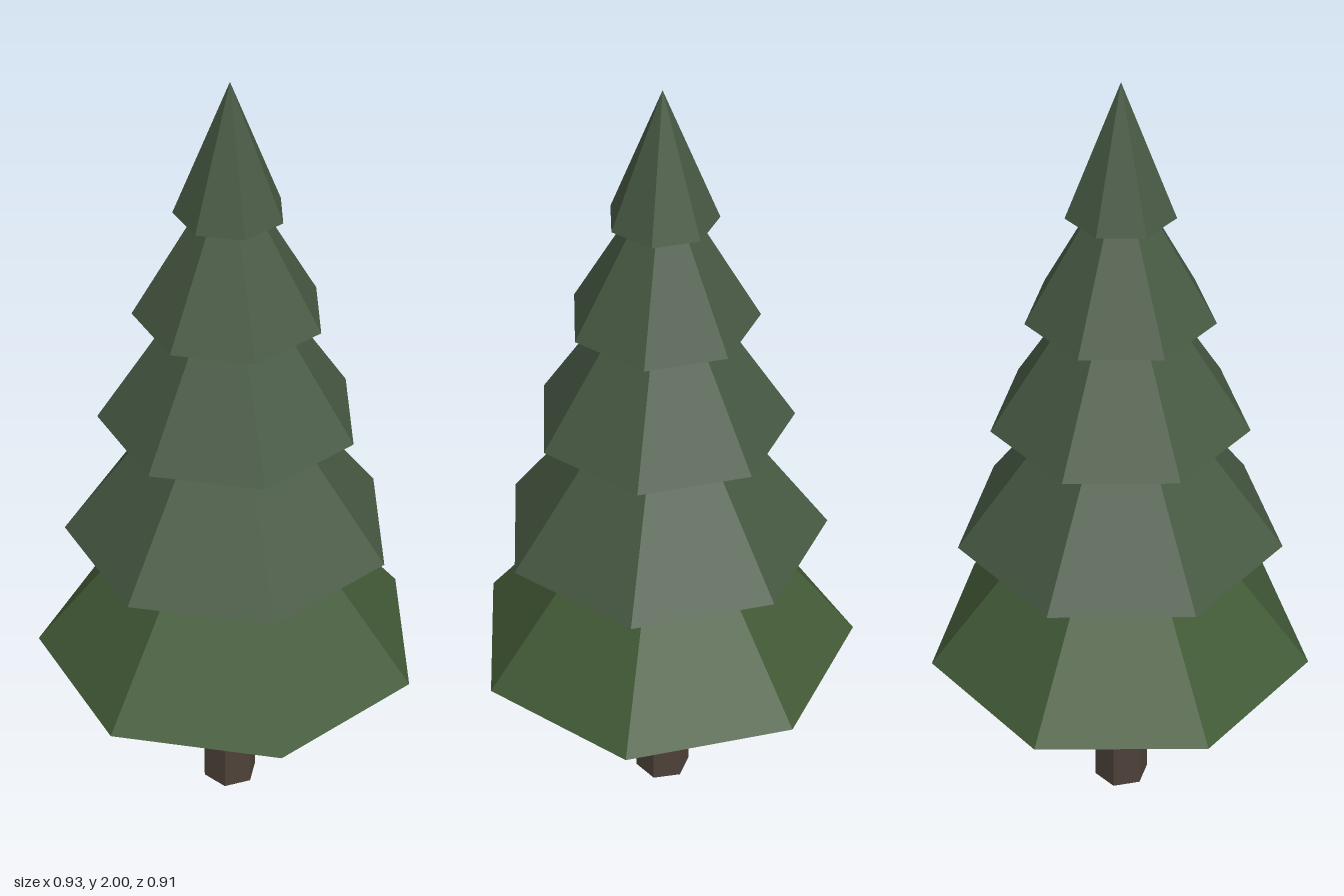
import * as THREE from 'three';

const AXIS_Z = 0.022; // the odd-sided tiers sit slightly off centre

function addPart(group, name, geometry, color, y, z, turn = 0) {
  const material = new THREE.MeshStandardMaterial({ color, flatShading: true });
  const mesh = new THREE.Mesh(geometry, material);
  mesh.name = name;
  mesh.position.set(0, y, z);
  mesh.rotation.y = turn;
  group.add(mesh);
}

export function createModel() {
  const tree = new THREE.Group();
  tree.name = 'pineTree';

  // Six-sided trunk, its top tucked into the lowest tier
  addPart(tree, 'trunk', new THREE.CylinderGeometry(0.069, 0.069, 0.5, 6), 0x4e4239, 0.25, 0.027);

  // Overlapping seven-sided cones: base height, radius, cone height
  const tiers = [
    [0.447, 0.479, 0.62],
    [0.793, 0.402, 0.55],
    [1.12, 0.314, 0.49],
    [1.406, 0.227, 0.402],
    [1.673, 0.13, 0.327],
  ];
  tiers.forEach(([base, radius, height], i) => {
    const color = i === 0 ? 0x425a37 : 0x465842;
    // Turned half a revolution so a flat side faces the front
    addPart(tree, `foliageTier${i + 1}`, new THREE.ConeGeometry(radius, height, 7), color,
      base + height / 2, AXIS_Z, Math.PI);
  });

  return tree;
}
